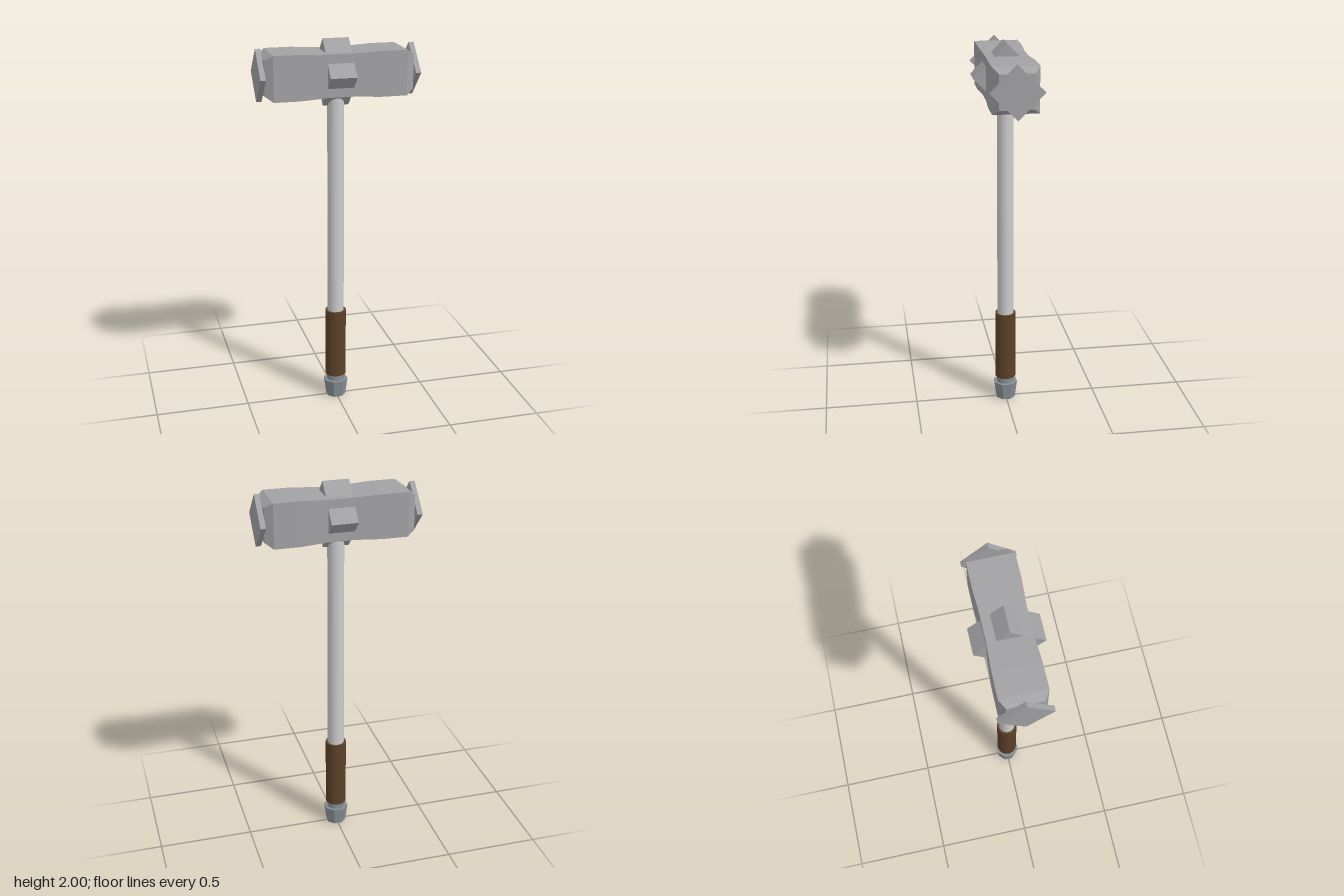
import * as THREE from 'three';

const HEAD_Y = 1.829;

function material(color, flatShading) {
  return new THREE.MeshStandardMaterial({ color, flatShading });
}

export function createModel() {
  const model = new THREE.Group();
  const steel = material(0xa2a2a5, true);
  const shaftMetal = material(0xcccccc, false);
  const leather = material(0x5c4128, false);
  const darkSteel = material(0x868e92, true);

  const add = (name, geometry, mat, x = 0, y = 0) => {
    const mesh = new THREE.Mesh(geometry, mat);
    mesh.name = name;
    mesh.position.set(x, y, 0);
    model.add(mesh);
    return mesh;
  };

  // Square head: waisted in the middle, chamfered at both ends [x, half width]
  const half = [[0.385, 0.088], [0.344, 0.116], [0.21, 0.116], [0.07, 0.109]];
  const sections = [
    [-0.385, 0],
    ...half.map(([x, h]) => [-x, h]),
    ...half.slice().reverse(),
    [0.385, 0],
  ];
  const profile = sections.map(([x, h]) => new THREE.Vector2(h * Math.SQRT2, x));
  const head = new THREE.LatheGeometry(profile, 4, Math.PI / 4);
  head.rotateZ(-Math.PI / 2);
  add('head', head, steel, 0, HEAD_Y);

  // Square blocks turned to stand on a corner: centre band and striking plates
  const diamond = (name, x, width, halfDiagonal) => {
    const side = halfDiagonal * Math.SQRT2;
    const geometry = new THREE.BoxGeometry(width, side, side);
    geometry.rotateX(Math.PI / 4);
    add(name, geometry, steel, x, HEAD_Y);
  };
  diamond('centreBand', 0, 0.136, 0.172);
  diamond('leftStrikingPlate', 0.398, 0.027, 0.134);
  diamond('rightStrikingPlate', -0.398, 0.027, 0.134);

  // Shaft, slightly slimmer towards the head
  add('shaft', new THREE.CylinderGeometry(0.043, 0.045, 1.7, 24), shaftMetal, 0, 0.92);

  // Wrapped grip
  add('grip', new THREE.CylinderGeometry(0.056, 0.056, 0.385, 24), leather, 0, 0.3225);

  // Collar and faceted pommel
  add('collar', new THREE.CylinderGeometry(0.048, 0.048, 0.06, 24), material(0x868e92, false), 0, 0.105);
  const pommel = new THREE.CylinderGeometry(0.067, 0.054, 0.096, 8);
  pommel.rotateY(Math.PI / 8);
  add('pommel', pommel, darkSteel, 0, 0.048);

  return model;
}
